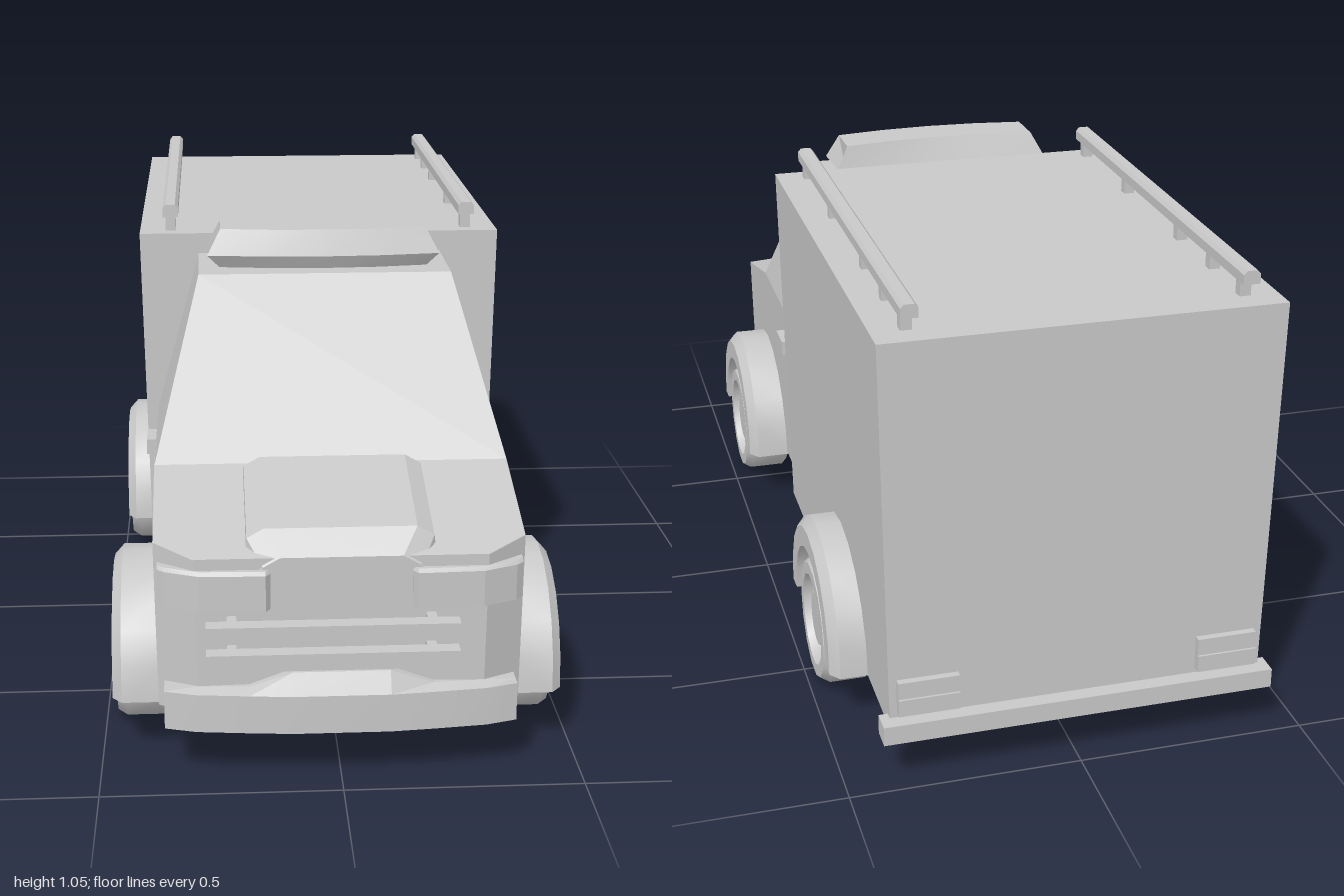
import * as THREE from 'three';
import { toCreasedNormals } from 'three/addons/utils/BufferGeometryUtils.js';

const paint = new THREE.MeshStandardMaterial({ color: 0xc8c8c8 });
paint.name = 'plain grey';

// Closed solid through equal-length convex cross-sections, wound outwards
function loft(sections, crease = 0.35) {
  const n = sections[0].length, index = [];
  for (let s = 0; s < sections.length - 1; s++)
    for (let i = 0; i < n; i++) {
      const a = s * n + i, b = s * n + (i + 1) % n;
      index.push(a, b, a + n, b, b + n, a + n);
    }
  const last = (sections.length - 1) * n;
  for (let i = 1; i < n - 1; i++) index.push(0, i + 1, i, last, last + i, last + i + 1);
  const pts = sections.flat().map(p => new THREE.Vector3(...p));
  let volume = 0;
  for (let i = 0; i < index.length; i += 3)
    volume += pts[index[i]].clone().sub(pts[0]).dot(
      pts[index[i + 1]].clone().sub(pts[0]).cross(pts[index[i + 2]].clone().sub(pts[0])));
  if (volume < 0) index.reverse();
  const g = new THREE.BufferGeometry().setFromPoints(pts);
  g.setIndex(index);
  return toCreasedNormals(g, crease);
}

// Left half of a cross-section mirrored to a full loop at depth z
const mirrored = (z, half) => [
  ...half.map(([x, y]) => [x, y, z]),
  ...half.slice().reverse().map(([x, y]) => [-x, y, z]),
];

export function createModel() {
  const model = new THREE.Group();
  model.name = 'van';
  const add = (name, geometry, x = 0, y = 0, z = 0) => {
    const mesh = new THREE.Mesh(geometry, paint);
    mesh.name = name;
    mesh.position.set(x, y, z);
    model.add(mesh);
    return mesh;
  };
  const box = (name, x0, x1, y0, y1, z0, z1) => add(name,
    new THREE.BoxGeometry(x1 - x0, y1 - y0, z1 - z0), (x0 + x1) / 2, (y0 + y1) / 2, (z0 + z1) / 2);

  // Cargo body, slightly wider at the roof
  const side = [[0.405, 0.132], [0.42, 0.99]];
  add('cargoBody', loft([mirrored(0.128, side), mirrored(-0.967, side)]));

  // Cab: roof, sloping windscreen, hood and chamfered nose
  const cab = (z, w, belt, topW, top) => mirrored(z, [[w - 0.005, 0.14], [w, belt], [topW, top]]);
  add('cab', loft([
    cab(0.12, 0.385, 0.572, 0.283, 0.943),
    cab(0.355, 0.385, 0.572, 0.283, 0.943),
    cab(0.578, 0.385, 0.572, 0.384, 0.573),
    cab(0.86, 0.383, 0.502, 0.382, 0.503),
    cab(0.92, 0.3, 0.485, 0.299, 0.486),
  ], 0.2));

  // Raised hood panel
  const bulge = (z, base, top, w) => mirrored(z, [[w, base], [w - 0.005, top - 0.02], [w - 0.04, top]]);
  add('hoodBulge', loft([
    bulge(0.575, 0.5, 0.575, 0.195),
    bulge(0.61, 0.5, 0.598, 0.197),
    bulge(0.88, 0.47, 0.535, 0.197),
    bulge(0.923, 0.46, 0.487, 0.165),
  ], 0.2));

  box('floorPan', -0.33, 0.33, 0.122, 0.15, -0.84, 0.88);

  // Roof light bar, bowed forwards in the middle
  add('lightBar', loft([-1, -0.5, 0, 0.5, 1].map(t => {
    const bow = 0.022 * (1 - t * t), wide = t * 0.263, narrow = t * 0.233;
    return [
      [narrow, 0.94, 0.175 + bow], [wide, 0.973, 0.157 + bow], [narrow, 1.03, 0.178 + bow],
      [narrow, 1.03, 0.277 + bow], [wide, 0.973, 0.297 + bow], [narrow, 0.94, 0.28 + bow],
    ];
  })));

  // Front bumper with a raised centre
  const bumper = [[0.365, 0.2, 0.925], [0.3, 0.208, 0.945], [0.19, 0.21, 0.957], [0.1, 0.243, 0.965]];
  const bumperRow = [...bumper.map(([x, t, z]) => [-x, t, z]), ...bumper.slice().reverse()];
  add('frontBumper', loft(bumperRow.map(([x, top, z]) => [
    [x, 0.117, 0.865], [x, top, 0.865], [x, top, z - 0.025], [x, 0.2, z], [x, 0.117, z],
  ]), 0.2));

  // Grille bars and their brackets
  for (const y of [0.292, 0.352]) {
    box('grilleBar', -0.277, 0.235, y - 0.018, y + 0.018, 0.965, 1);
    for (const x of [-0.225, 0.183]) box('grilleBracket', x - 0.01, x + 0.01, y - 0.01, y + 0.01, 0.9, 0.97);
  }

  // Rear bumper
  box('rearBumper', -0.425, 0.425, 0.117, 0.16, -1, -0.95);

  // Wheel profile around its axle: tyre, recessed rim and hub
  const profile = [[0, 0], [0.13, 0], [0.145, 0.015], [0.145, 0.095], [0.132, 0.115], [0.105, 0.115],
    [0.095, 0.09], [0.066, 0.09], [0.06, 0.105], [0, 0.105]];
  const wheel = toCreasedNormals(
    new THREE.LatheGeometry(profile.map(p => new THREE.Vector2(...p)), 14).rotateZ(-Math.PI / 2), 0.5);

  for (const s of [1, -1]) {
    // Wheels and arches
    for (const [end, z, out] of [['front', 0.595, 0.477], ['rear', -0.52, 0.485]]) {
      const w = add(end + 'Wheel', wheel, s * (out - 0.119), 0.146, z);
      if (s < 0) w.rotation.y = Math.PI;
      const rings = [];
      for (let i = 0; i <= 10; i++) {
        const a = -0.06 + (Math.PI + 0.12) * i / 10;
        rings.push([[0.168, 0.37], [0.237, 0.37], [0.237, out - 0.02], [0.215, out], [0.168, out]]
          .map(([r, x]) => [s * x, 0.146 + r * Math.sin(a), z + r * Math.cos(a)]));
      }
      add(end + 'WheelArch', loft(rings, 0.5));
    }

    // Wraparound headlights
    add('headlight', loft([[0.145, 0.925], [0.155, 0.94], [0.29, 0.935], [0.36, 0.905], [0.375, 0.89]].map(([x, z]) => [
      [s * x, 0.378, 0.85], [s * x, 0.462, 0.85], [s * x, 0.462, z - 0.008],
      [s * x, 0.455, z], [s * x, 0.378, z],
    ])));

    // Door handle and tail light
    box('doorHandle', s * 0.395 - 0.016, s * 0.395 + 0.016, 0.495, 0.53, 0.185, 0.265);
    box('tailLight', s * 0.325 - 0.065, s * 0.325 + 0.065, 0.172, 0.21, -0.987, -0.96);
    box('tailLightTop', s * 0.325 - 0.065, s * 0.325 + 0.065, 0.21, 0.248, -0.982, -0.96);

    // Roof rail on short feet
    const rail = [[-0.018, 1.025], [0.018, 1.025], [0.018, 1.046], [0.011, 1.054], [-0.011, 1.054], [-0.018, 1.046]];
    add('roofRail', loft([0.11, -0.94].map(z => rail.map(([x, y]) => [s * 0.348 + x, y, z]))));
    for (const z of [0.08, -0.22, -0.555, -0.74, -0.9])
      box('railFoot', s * 0.348 - 0.012, s * 0.348 + 0.012, 0.985, 1.03, z - 0.011, z + 0.011);
  }
  return model;
}
